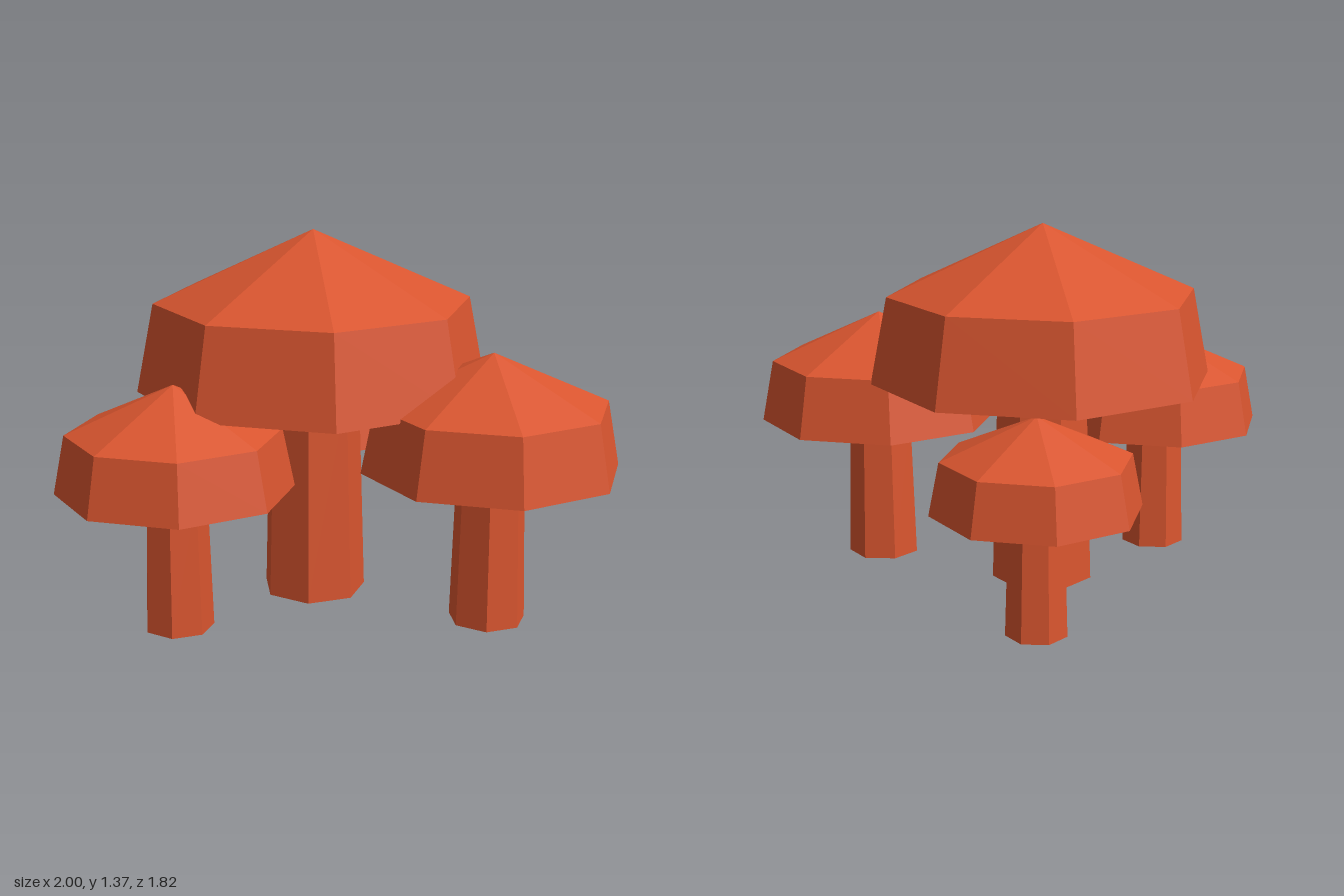
import * as THREE from 'three';

const terracotta = new THREE.MeshStandardMaterial({ color: 0xd9552f, flatShading: true });
terracotta.name = 'terracotta';

// One mushroom: seven-sided tapered stem under an eight-sided faceted cap
function makeMushroom({ name, x, z, radius, base, shoulder, apex }) {
  const mushroom = new THREE.Group();
  mushroom.name = name;
  mushroom.position.set(x, 0, z);

  const stemRadius = radius * 0.3;
  const stemGeometry = new THREE.CylinderGeometry(stemRadius * 0.88, stemRadius, base, 7, 1, false, Math.PI / 2);
  const stem = new THREE.Mesh(stemGeometry.translate(0, base / 2, 0), terracotta);
  stem.name = 'stem';

  // Flat underside, slanted rim, shallow pointed roof
  const profile = [
    [0, base], [radius, base], [radius * 0.9, shoulder], [0, apex],
  ].map(([r, y]) => new THREE.Vector2(r, y));
  const cap = new THREE.Mesh(new THREE.LatheGeometry(profile, 8), terracotta);
  cap.name = 'cap';

  mushroom.add(stem, cap);
  return mushroom;
}

export function createModel() {
  const cluster = new THREE.Group();
  cluster.name = 'mushroomCluster';
  const mushrooms = [
    { name: 'mainMushroom', x: -0.055, z: 0.05, radius: 0.648, base: 0.785, shoulder: 1.11, apex: 1.37 },
    { name: 'leftMushroom', x: 0.53, z: 0.443, radius: 0.466, base: 0.565, shoulder: 0.8, apex: 0.985 },
    { name: 'rightMushroom', x: -0.58, z: 0.375, radius: 0.42, base: 0.51, shoulder: 0.72, apex: 0.888 },
    { name: 'backMushroom', x: 0.07, z: -0.535, radius: 0.375, base: 0.455, shoulder: 0.643, apex: 0.79 },
  ];
  for (const spec of mushrooms) cluster.add(makeMushroom(spec));
  return cluster;
}
